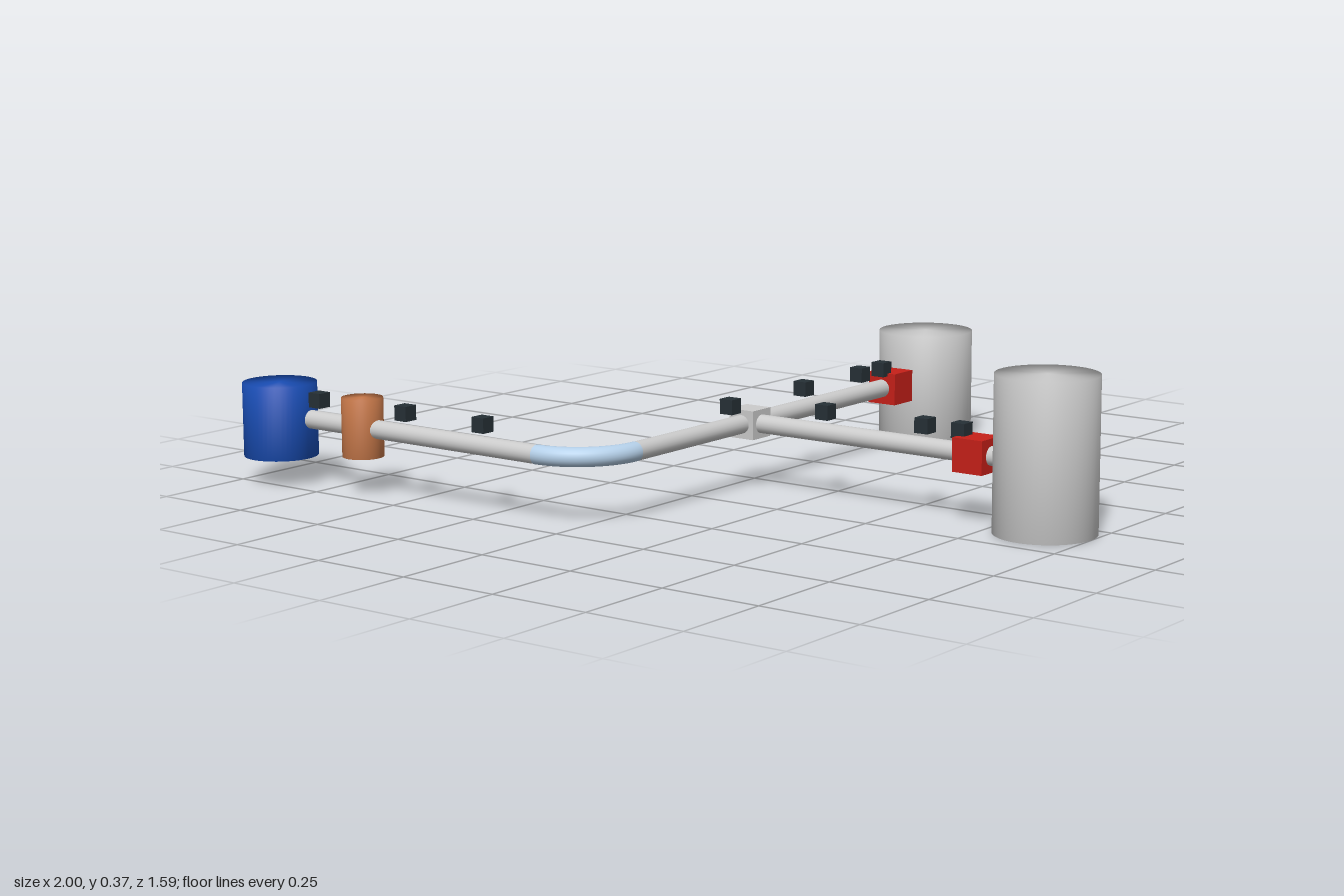
import * as THREE from 'three';
import { mergeVertices } from 'three/addons/utils/BufferGeometryUtils.js';

const PIPE_Y = 0.16, PIPE_R = 0.0225;
const RUN_X = 0.053;   // main run along z
const BRANCH_Z = 0.09; // side branch along +x
const INLET_Z = 0.69;  // inlet run along -x
const BEND_R = 0.16;

const mat = (color) => new THREE.MeshStandardMaterial({ color });
const grey = mat(0xcccccc), blue = mat(0x1a4fb8), copper = mat(0xc8794a);
const red = mat(0xc62019), dark = mat(0x263036), paleBlue = mat(0xb4cfe8);

export function createModel() {
  const model = new THREE.Group();

  const add = (name, geometry, material, x, y, z) => {
    const mesh = new THREE.Mesh(geometry, material);
    mesh.name = name;
    mesh.position.set(x, y, z);
    model.add(mesh);
    return mesh;
  };

  // Upright vessel whose normals are blended softly over the rims
  const vessel = (name, material, r, bottom, top, x, z) => {
    const raw = new THREE.CylinderGeometry(r, r, top - bottom, 48);
    raw.deleteAttribute('normal');
    raw.deleteAttribute('uv');
    const geometry = mergeVertices(raw);
    geometry.computeVertexNormals();
    add(name, geometry, material, x, (top + bottom) / 2, z);
  };

  // Straight pipe between two points on the pipe level
  const pipe = (name, x1, z1, x2, z2) => {
    const dir = new THREE.Vector3(x2 - x1, 0, z2 - z1);
    const geometry = new THREE.CylinderGeometry(PIPE_R, PIPE_R, dir.length(), 24);
    const mesh = add(name, geometry, grey, (x1 + x2) / 2, PIPE_Y, (z1 + z2) / 2);
    mesh.quaternion.setFromUnitVectors(new THREE.Vector3(0, 1, 0), dir.normalize());
  };

  const cube = (name, material, size, x, y, z) =>
    add(name, new THREE.BoxGeometry(size, size, size), material, x, y, z);

  // Tanks, pump and filter
  vessel('sideTank', grey, 0.12, 0, 0.365, 0.88, BRANCH_Z);
  vessel('backTank', grey, 0.12, 0, 0.285, RUN_X, -0.677);
  vessel('pump', blue, 0.09, 0.065, 0.245, -0.91, 0.705);
  vessel('filter', copper, 0.05, 0.09, 0.233, -0.65, INLET_Z);

  // Pipe runs, reaching a little way into the vessels
  pipe('inletPipe', -0.85, INLET_Z, RUN_X - BEND_R, INLET_Z);
  pipe('mainPipe', RUN_X, INLET_Z - BEND_R, RUN_X, -0.6);
  pipe('branchPipe', RUN_X, BRANCH_Z, 0.8, BRANCH_Z);

  // Quarter bend joining the inlet and main runs
  const bend = add('pipeBend', new THREE.TorusGeometry(BEND_R, PIPE_R + 0.0005, 24, 32, Math.PI / 2),
    paleBlue, RUN_X - BEND_R, PIPE_Y, INLET_Z - BEND_R);
  bend.rotation.x = Math.PI / 2;

  // Tee junction and valves
  cube('teeJunction', grey, 0.07, RUN_X, PIPE_Y, BRANCH_Z);
  cube('sideValve', red, 0.08, 0.695, PIPE_Y, BRANCH_Z);
  cube('backValve', red, 0.08, RUN_X, PIPE_Y, -0.515);

  // Sensors above the pipes
  const sensor = (x, z) => cube('sensor', dark, 0.036, x, 0.211, z);
  for (const x of [-0.792, -0.511, -0.269]) sensor(x, INLET_Z);
  for (const x of [0.275, 0.555, 0.655]) sensor(x, BRANCH_Z);
  for (const z of [0.168, -0.132, -0.376, -0.473]) sensor(RUN_X, z);

  return model;
}
